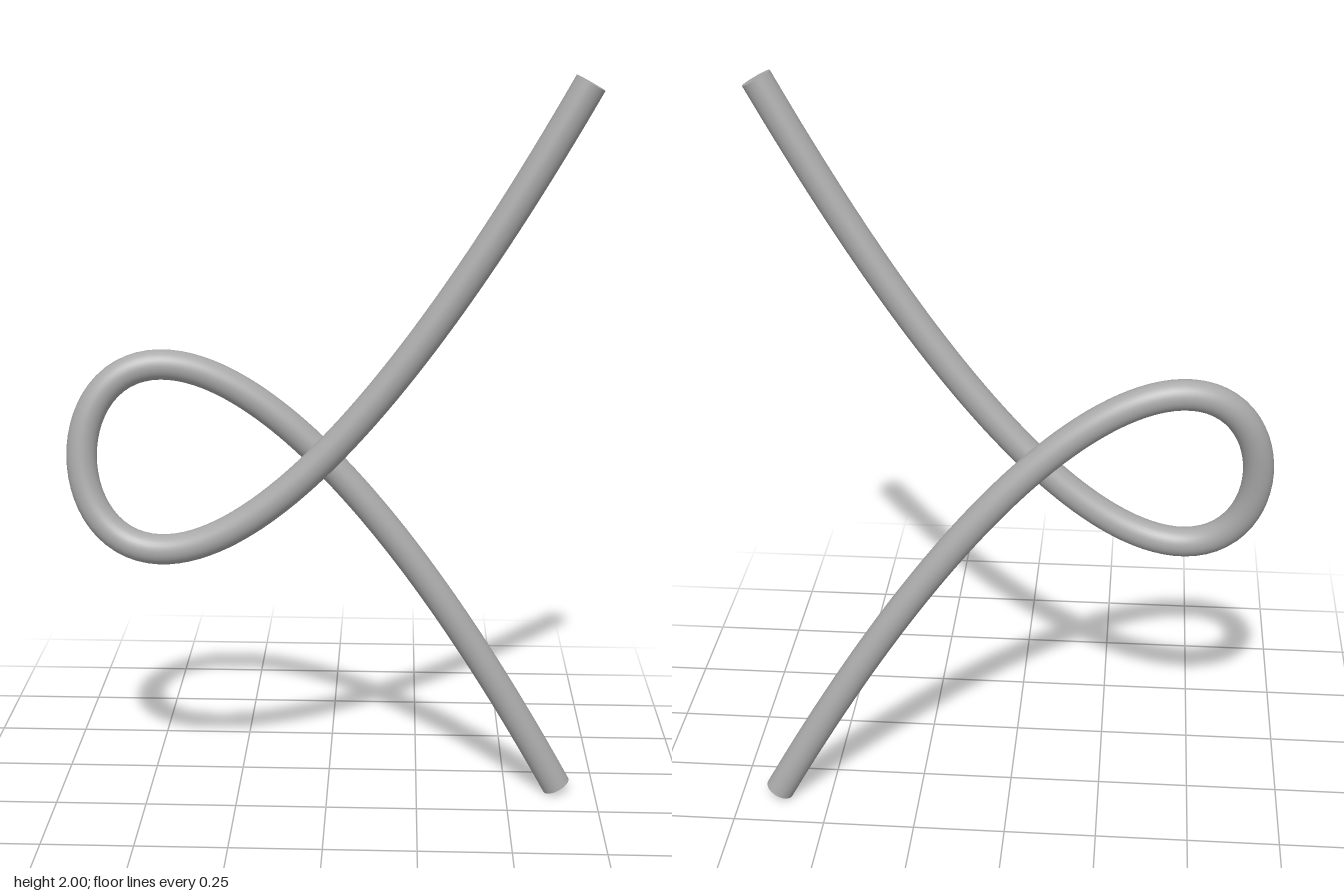
import * as THREE from 'three';

const RADIUS = 0.04;
const SIDES = 32;

// Looping cubic: crosses itself in the front plane, drifting steadily in z
class LoopCurve extends THREE.Curve {
  getPoint(u, target = new THREE.Vector3()) {
    const t = 2 * u - 1;
    return target.set(
      -0.645 + 1.288 * t * t,
      1 + 1.877 * t ** 3 - 0.896 * t,
      0.127 * t
    );
  }
}

export function createModel() {
  const group = new THREE.Group();
  group.name = 'loopedRod';
  const grey = new THREE.MeshStandardMaterial({ color: 0xaaaaaa });
  grey.name = 'grey';

  // Rod swept along the loop
  const curve = new LoopCurve();
  const rod = new THREE.Mesh(new THREE.TubeGeometry(curve, 160, RADIUS, SIDES), grey);
  rod.name = 'rod';
  group.add(rod);

  // Flat end caps facing outward along the curve
  for (const [name, u, sign] of [['lowerCap', 0, -1], ['upperCap', 1, 1]]) {
    const cap = new THREE.Mesh(new THREE.CircleGeometry(RADIUS, SIDES), grey);
    cap.name = name;
    cap.position.copy(curve.getPoint(u));
    const outward = curve.getTangent(u).multiplyScalar(sign);
    cap.quaternion.setFromUnitVectors(new THREE.Vector3(0, 0, 1), outward);
    group.add(cap);
  }
  return group;
}
